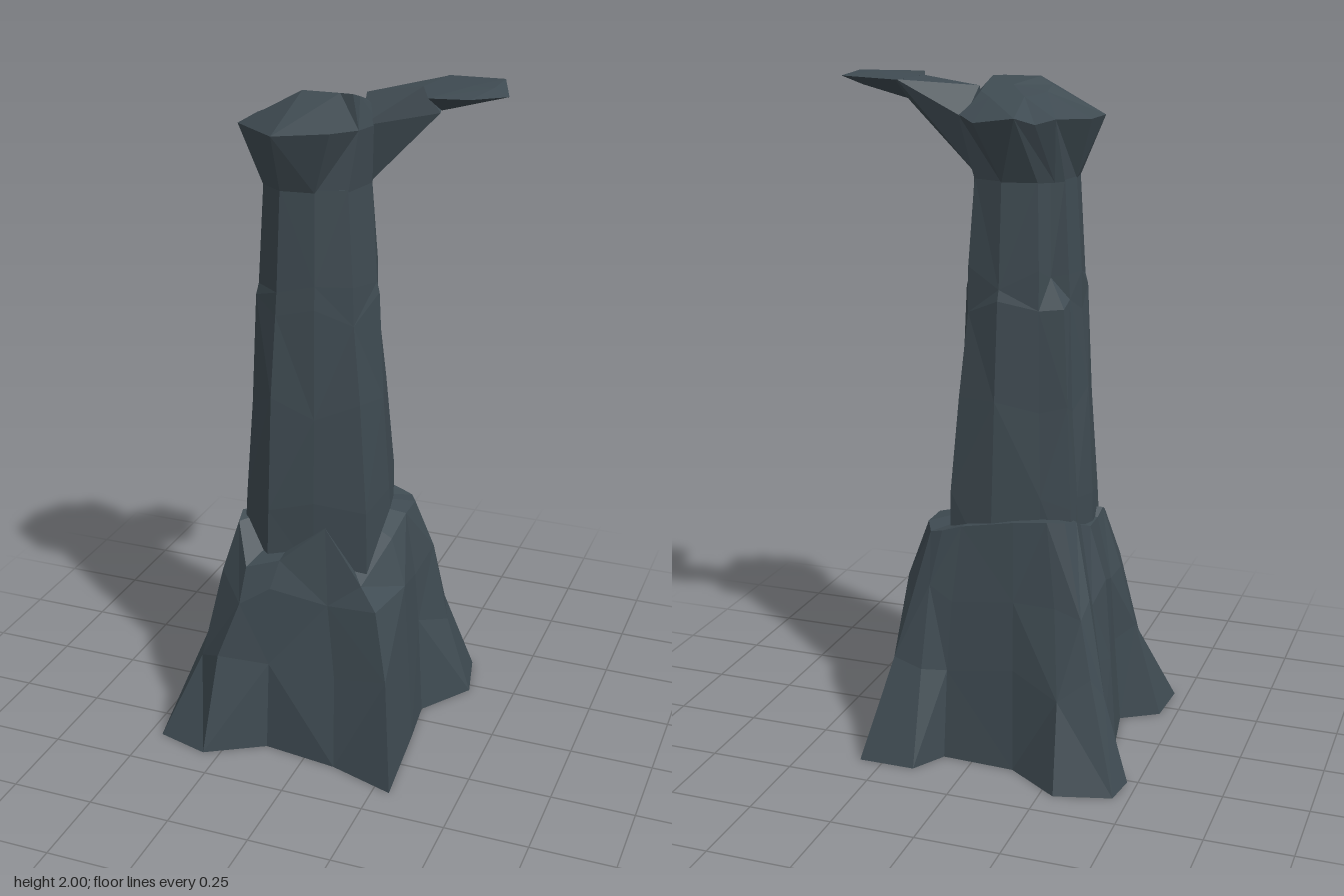
import * as THREE from 'three';
import { ConvexGeometry } from 'three/addons/geometries/ConvexGeometry.js';

const stone = new THREE.MeshStandardMaterial({ color: 0x3f4b52, flatShading: true });

// Skin a stack of equal-length rings of [x, y, z]; both ends close to a centre point.
function loft(rings, bottom, top) {
  const n = rings[0].length, index = [];
  const verts = [...rings.flat(), bottom, top];
  const b = verts.length - 2, t = verts.length - 1, last = (rings.length - 1) * n;
  for (let i = 0; i < n; i++) {
    const j = (i + 1) % n;
    for (let r = 0; r < rings.length - 1; r++) {
      const a = r * n, c = a + n;
      if ((i + r) % 2) index.push(a + i, a + j, c + j, a + i, c + j, c + i);
      else index.push(a + i, a + j, c + i, a + j, c + j, c + i);
    }
    index.push(b, j, i, t, last + i, last + j);
  }
  const g = new THREE.BufferGeometry();
  g.setAttribute('position', new THREE.Float32BufferAttribute(verts.flat(), 3));
  g.setIndex(index);
  g.computeVertexNormals();
  return g;
}

function add(group, name, geometry) {
  const m = new THREE.Mesh(geometry, stone);
  m.name = name;
  group.add(m);
}

// Small repeatable roughness
const rough = (i, k, amount) => amount * Math.sin(i * 2.7 + k * 4.1);

// Outlines [x, z], anticlockwise from above, starting at the front -x corner
const foot = [[-.46, .36], [-.30, .405], [-.13, .305], [.10, .335], [.30, .40], [.27, .10], [.25, -.06],
  [.36, -.22], [.32, -.39], [.15, -.39], [.09, -.29], [-.13, -.30], [-.29, -.41], [-.455, -.365],
  [-.47, -.26], [-.36, -.13], [-.37, -.03], [-.34, .13], [-.45, .20]];
const shin = [[-.36, .26], [-.28, .32], [-.13, .28], [.08, .275], [.25, .30], [.25, .08], [.23, -.07],
  [.28, -.22], [.25, -.28], [.16, -.29], [.09, -.26], [-.12, -.27], [-.27, -.315], [-.36, -.28],
  [-.39, -.24], [-.33, -.12], [-.35, -.03], [-.32, .12], [-.37, .18]];
const hip = [[-.31, .20], [-.22, .285], [-.13, .26], [.04, .225], [.20, .25], [.23, .07], [.22, -.06],
  [.24, -.18], [.21, -.24], [.15, -.24], [.08, -.24], [-.11, -.24], [-.24, -.25], [-.32, -.25],
  [-.33, -.20], [-.31, -.10], [-.33, -.03], [-.31, .10], [-.33, .14]];
// Shoulder outline [x, z] with the height of each point
const shoulder = [[-.27, .16, .68], [-.21, .25, .58], [-.11, .23, .61], [.02, .19, .72], [.14, .21, .56],
  [.18, .05, .65], [.19, -.05, .69], [.19, -.14, .69], [.16, -.20, .68], [.12, -.21, .69], [.06, -.21, .71],
  [-.10, -.21, .74], [-.20, -.205, .75], [-.25, -.19, .75], [-.27, -.14, .74], [-.265, -.08, .71],
  [-.28, -.03, .69], [-.27, .08, .68], [-.275, .12, .70]];
const neck = [[-.13, .14], [-.03, .13], [.055, .095], [.08, -.03], [.05, -.11], [-.04, -.14],
  [-.14, -.12], [-.18, -.09], [-.20, -.06], [-.21, .02], [-.20, .09]];
const brim = [[-.13, .20], [.03, .17], [.08, .08], [.10, -.03], [.10, -.11], [.03, -.18],
  [-.10, -.21], [-.15, -.18], [-.20, -.15], [-.27, -.04], [-.27, .10]];
const crown = [[-.08, .09], [.03, .09], [.065, .085], [.065, .03], [.06, -.03], [.02, -.07],
  [-.05, -.08], [-.08, -.06], [-.10, -.03], [-.12, .02], [-.12, .07]];

// Extra reach of single shaft corners at each shaft level, by corner number
const cornerReach = {
  2: [1.22, 1.22, 1.14, 1.07, 1.05, 1],
  4: [1.06, 1.06, 1.04, 1, 1, 1],
  7: [1.22, 1.2, 1.18, 1.18, .8, .85],
};

export function createModel() {
  const group = new THREE.Group();
  group.name = 'rockPillar';
  const level = (outline, y, amount, k) => outline.map(([x, z], i) => [x, y + rough(i, k, amount), z]);

  // Flared base with a buttress at each corner
  add(group, 'base', loft([
    level(foot, 0, 0, 0), level(shin, .28, .035, 1), level(hip, .5, .03, 2), shoulder.map(([x, z, y]) => [x, y, z]),
  ], [-.05, 0, 0], [-.06, .74, 0]));

  // Tapering shaft; the back -x corner bulges low down and is cut in above
  const shaft = [[.55, 1.45, 1.5], [.78, 1.40, 1.46], [1.08, 1.27, 1.31], [1.36, 1.15, 1.17],
    [1.44, 1.12, 1.13], [1.72, 1, 1]];
  add(group, 'shaft', loft(shaft.map(([y, sx, sz], k) => neck.map(([x, z], i) => {
    const reach = cornerReach[i] ? cornerReach[i][k] : 1;
    const wear = k === 5 ? 1 : 1 + rough(i, k, .012);
    const bump = k === 5 || i === 7 ? 0 : rough(i, k, .03);
    return [-.065 + (x + .065) * sx * wear * reach, y + bump, z * sz * wear * reach];
  })), [-.065, .5, 0], [-.065, 1.75, 0]));

  // Faceted cap: wide brim, crown highest at its front edge and sloping down to the back
  add(group, 'cap', loft([
    level(neck, 1.71, 0, 0), level(brim, 1.885, .01, 1),
    crown.map(([x, z]) => [x, 1.985 - (.09 - z) * .3 + Math.min(0, x + .08) * .4, z]),
  ], [-.065, 1.7, 0], [-.02, 1.965, .02]));

  const hull = (points) => new ConvexGeometry(points.map((p) => new THREE.Vector3(...p)));

  // Sharp-edged web of rock that carries the ledge
  add(group, 'ledgeBracket', hull([[.08, 1.72, -.03], [.06, 1.88, .01], [.08, 1.88, -.11],
    [.06, 1.965, -.04], [.22, 1.99, -.05], [.24, 1.99, -.21], [.27, 1.92, -.05]]));

  // Thin overhanging ledge
  add(group, 'ledge', hull([[.24, 1.99, -.22], [.41, 1.995, -.20], [.47, 1.985, -.02], [.39, 1.99, .075],
    [.28, 1.99, .095], [.22, 1.99, -.05], [.36, 2, -.06], [.42, 2, -.05],
    [.27, 1.925, -.06], [.34, 1.96, .01], [.38, 1.965, -.12]]));

  return group;
}
